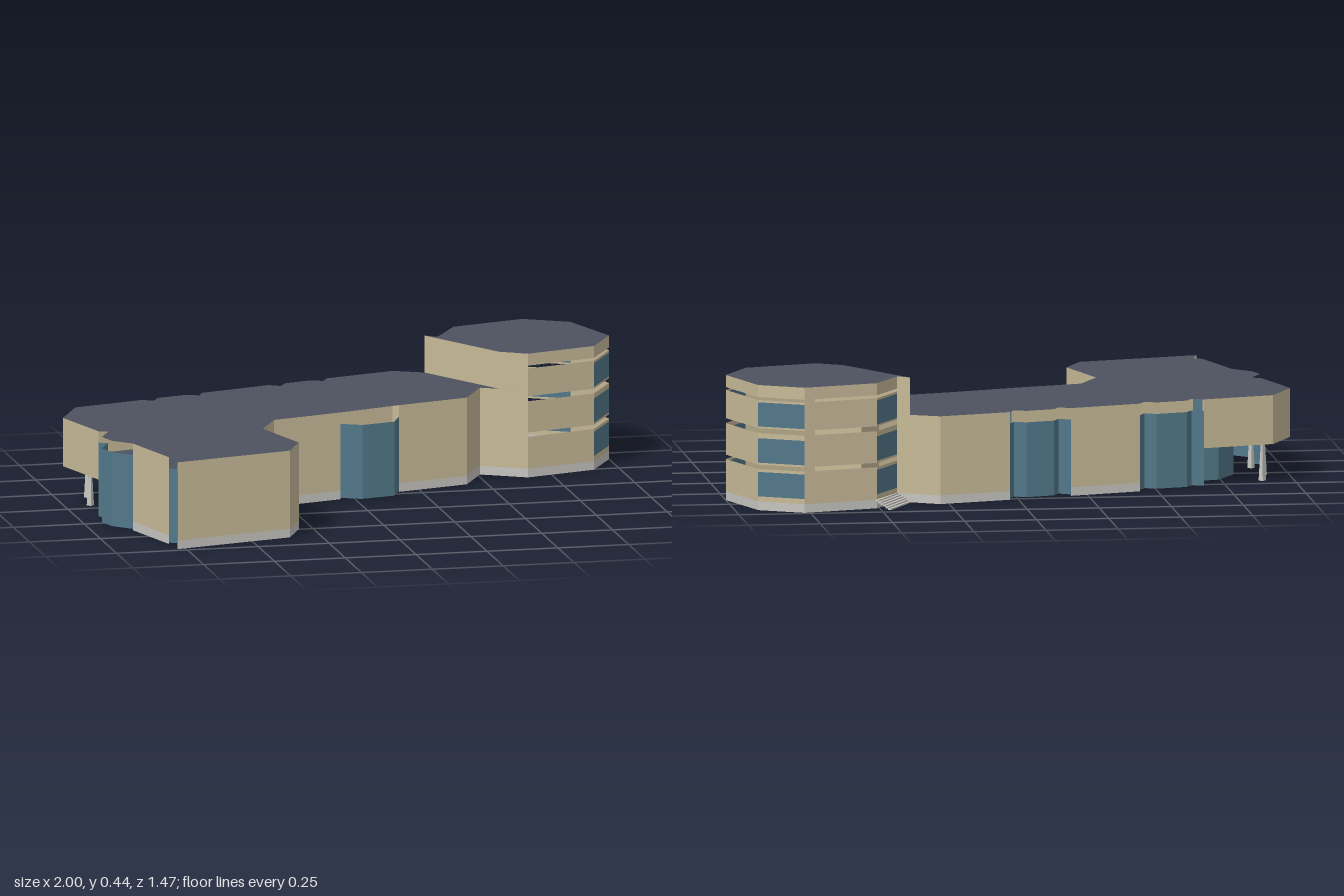
import * as THREE from 'three';

const mat = (name, color) => {
  const m = new THREE.MeshStandardMaterial({ color, side: THREE.DoubleSide });
  m.name = name;
  return m;
};

export function createModel() {
  const group = new THREE.Group();
  const tan = mat('tan wall', 0xc8ba98);
  const slate = mat('slate roof', 0x4e525f);
  const glass = mat('blue glass', 0x52788a);
  const grey = mat('pale grey base', 0xc6c5c1);

  const add = (name, geometry, material) => {
    const mesh = new THREE.Mesh(geometry, material);
    mesh.name = name;
    group.add(mesh);
    return mesh;
  };

  // Upright sheet along [x, z] points; outside is on the left of the path
  const wall = (name, path, y0, y1, material) => {
    const v = [];
    for (let i = 0; i + 1 < path.length; i++) {
      const [ax, az] = path[i], [bx, bz] = path[i + 1];
      v.push(ax, y0, az, ax, y1, az, bx, y1, bz, ax, y0, az, bx, y1, bz, bx, y0, bz);
    }
    const g = new THREE.BufferGeometry();
    g.setAttribute('position', new THREE.Float32BufferAttribute(v, 3));
    g.computeVertexNormals();
    return add(name, g, material);
  };

  // Level sheet from an [x, z] outline
  const slab = (name, outline, y, material) => {
    const s = new THREE.Shape(outline.map(([x, z]) => new THREE.Vector2(x, -z)));
    const g = new THREE.ShapeGeometry(s);
    g.rotateX(-Math.PI / 2);
    g.translate(0, y, 0);
    return add(name, g, material);
  };

  const ROOF = 0.305, BASE = 0.03, TOP = 0.435, GLASS = 0.265, SOFFIT = 0.135;

  // Plan of the long wing, clockwise seen from above
  const corner = [[-0.93, 0.165], [-1, -0.08], [-0.92, -0.24], [-0.67, -0.31]];
  const backBayA = [[-0.67, -0.31], [-0.63, -0.29], [-0.61, -0.33], [-0.5, -0.36], [-0.46, -0.34], [-0.44, -0.38]];
  const backBayB = [[-0.19, -0.455], [-0.15, -0.43], [-0.13, -0.47], [-0.03, -0.5], [0.01, -0.48], [0.03, -0.52]];
  const backEnd = [[0.03, -0.52], [0.28, -0.59], [0.42, -0.51]];
  const frontRight = [[0.51, -0.25], [0.43, -0.1], [0.175, -0.03]];
  const frontBay = [[0.175, -0.03], [0.14, 0.05], [0.02, 0.08], [-0.05, 0.045]];
  const frontLeft = [[-0.05, 0.045], [-0.3, 0.115], [-0.37, 0.25], [-0.3, 0.5], [-0.36, 0.625], [-0.78, 0.73]];
  const doorway = [[-0.775, 0.7], [-0.76, 0.66], [-0.79, 0.64]];
  const sideWall = [[-0.79, 0.64], [-0.86, 0.39]];
  const sideBay = [[-0.86, 0.39], [-0.92, 0.33], [-0.94, 0.26], [-0.9, 0.18], [-0.93, 0.165]];
  const seam = [[0.38, -0.54], [0.57, -0.22]];

  // Solid walls on a pale base
  const solid = {
    backMiddleWall: [[-0.44, -0.38], [-0.19, -0.455]],
    backEndWall: backEnd,
    frontRightWall: frontRight,
    frontLeftWall: frontLeft,
    sideWall,
  };
  for (const [name, path] of Object.entries(solid)) {
    wall(name, path, BASE, ROOF, tan);
    wall(name + 'Base', path, 0, BASE, grey);
  }
  wall('overhangWall', corner, SOFFIT, ROOF, tan);

  // Glazed bays stop short of the roof
  const bays = { backBayA, backBayB, frontBay, sideBay, doorway };
  for (const [name, path] of Object.entries(bays)) wall(name, path, 0.005, GLASS, glass);

  slab('wingRoof', [
    ...corner, ...backBayA.slice(1), ...backBayB, ...backEnd.slice(1, 2), ...seam,
    ...frontRight, ...frontLeft, ...doorway, ...sideWall.slice(1), ...sideBay.slice(1, -1),
  ], ROOF, slate);

  // Raised corner: soffit, octagonal glass room and tapered posts
  slab('overhangSoffit', [...corner, [-0.5, -0.2], [-0.45, 0.03]], SOFFIT, slate);
  const room = new THREE.CylinderGeometry(0.18, 0.18, 0.13, 8).toNonIndexed();
  room.computeVertexNormals();
  add('octagonRoom', room, glass).position.set(-0.63, 0.068, -0.02);
  group.getObjectByName('octagonRoom').rotation.y = Math.PI / 8 + 0.27;
  for (const [x, z] of [[-0.66, -0.24], [-0.89, -0.18], [-0.91, -0.05], [-0.89, 0.12], [-0.36, 0]]) {
    const post = new THREE.CylinderGeometry(0.005, 0.013, SOFFIT, 4).toNonIndexed();
    post.computeVertexNormals();
    add('post', post, grey).position.set(x, SOFFIT / 2, z);
  }

  // Eight-sided tower, alternating short glazed and long solid sides
  const oct = [[0.42, -0.51], [0.51, -0.66], [0.77, -0.735], [0.92, -0.65], [1, -0.4], [0.91, -0.24], [0.66, -0.165], [0.51, -0.25]];
  const floors = [[BASE, 0.143, 0.048, 0.133], [0.158, 0.268, 0.165, 0.25], [0.285, 0.383, 0.291, 0.375]];
  for (let i = 0; i < 6; i++) {
    const side = [oct[i], oct[i + 1]];
    wall('towerBase', side, 0, BASE, grey);
    wall('towerParapet', side, 0.393, TOP, tan);
    for (const [y0, y1, g0, g1] of floors) {
      if (i % 2) {
        wall('towerBand', side, y0, y1, tan);
      } else {
        wall('towerSill', side, y0, g0, tan);
        wall('towerWindow', side, g0, g1, glass);
        wall('towerLintel', side, g1, y1, tan);
      }
    }
  }
  wall('towerFrontWall', [oct[6], oct[7]], BASE, ROOF, tan);
  wall('towerFrontBase', [oct[6], oct[7]], 0, BASE, grey);
  wall('towerUpperWall', [oct[6], seam[1], seam[0], oct[0]], ROOF, TOP, tan);
  slab('towerRoof', [...oct.slice(0, 7), seam[1], seam[0]], TOP, slate);

  // Outside steps rising to the tower's back door
  for (let i = 0; i < 6; i++) {
    const t = i / 5;
    const step = add('step', new THREE.BoxGeometry(0.011, 0.005, 0.19), grey);
    step.position.set(0.428 + 0.038 * t, 0.003 + 0.005 * i, -0.628 + 0.036 * t);
    step.rotation.y = -Math.atan2(0.09, 0.165);
  }
  return group;
}
